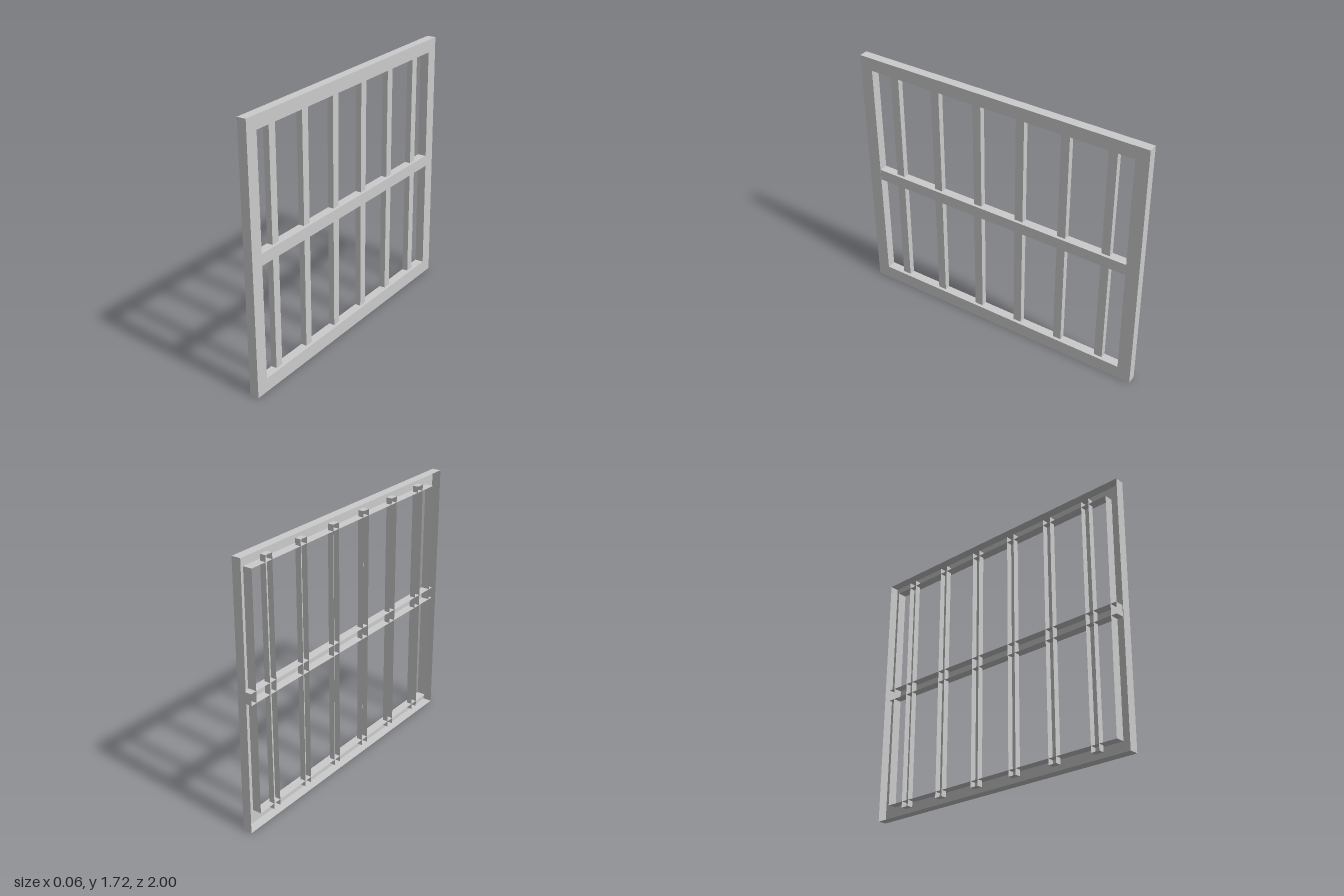
import * as THREE from 'three';

const BACK = -0.03;
const material = new THREE.MeshStandardMaterial({ color: 0xcccccc, flatShading: true, side: THREE.DoubleSide });

// Extrudes an outline drawn in (-z, y) along +x, leaving the wall side open.
function openBacked(name, outline, depth, hole) {
  const toPoints = (list) => list.map(([u, v]) => new THREE.Vector2(u, v));
  const shape = new THREE.Shape(toPoints(outline));
  if (hole) shape.holes.push(new THREE.Path(toPoints(hole)));
  const solid = new THREE.ExtrudeGeometry(shape, { depth, bevelEnabled: false });
  const p = solid.attributes.position.array;
  const n = solid.attributes.normal.array;
  const kept = [];
  for (let i = 0; i < p.length; i += 9) {
    if (n[i + 2] > -0.5) kept.push(...p.slice(i, i + 9));
  }
  const geometry = new THREE.BufferGeometry();
  geometry.setAttribute('position', new THREE.Float32BufferAttribute(kept, 3));
  geometry.rotateY(Math.PI / 2).translate(BACK, 0, 0);
  geometry.computeVertexNormals();
  const mesh = new THREE.Mesh(geometry, material);
  mesh.name = name;
  return mesh;
}

const rectangle = (u0, v0, u1, v1) => [[u0, v0], [u1, v0], [u1, v1], [u0, v1]];

export function createModel() {
  const model = new THREE.Group();
  model.name = 'barredWindow';

  // Outer frame, leaning very slightly out of square
  model.add(openBacked('frame',
    [[-0.99, 0], [1, 0], [0.985, 1.72], [-1, 1.72]], 0.06,
    [[-0.905, 0.09], [0.91, 0.09], [0.9, 1.635], [-0.915, 1.635]]));

  // Middle rail, let into both stiles
  model.add(openBacked('middleRail', rectangle(-0.95, 0.83, 0.95, 0.905), 0.059));

  // Upright bars, set back from the front and let into the rails
  const bars = new THREE.Group();
  bars.name = 'bars';
  for (let i = 0; i < 6; i++) {
    const u = (i - 2.5) * 0.303;
    bars.add(openBacked('bar', rectangle(u - 0.028, 0.05, u + 0.028, 1.675), 0.039));
  }
  model.add(bars);
  return model;
}
